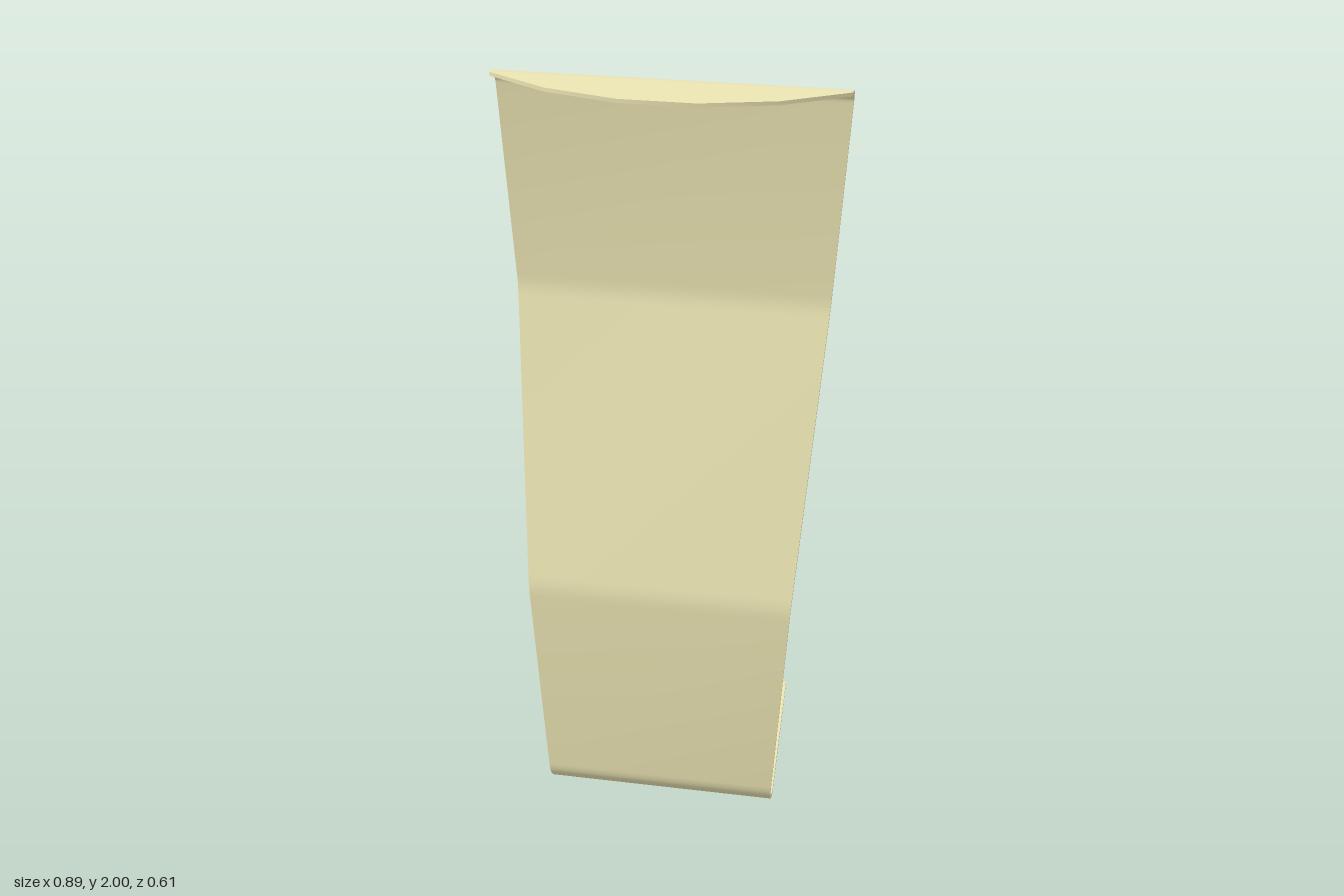
import * as THREE from 'three';
import { toCreasedNormals } from 'three/addons/utils/BufferGeometryUtils.js';

const T = 0.01; // sheet thickness
const BASE_FRONT = 0.23; // where the flat base meets the bent strip
const halfWidth = (y) => 0.3055 + 0.071 * y;

// Polyline in (z, y) whose inner corners are replaced by arcs.
// corners: [z, y, bend radius, arc steps]
function bentPath(corners) {
  const pts = [];
  corners.forEach(([z, y, r, steps], i) => {
    const p = new THREE.Vector2(z, y);
    if (!r) return pts.push(p);
    const a = new THREE.Vector2(...corners[i - 1].slice(0, 2)).sub(p).normalize();
    const b = new THREE.Vector2(...corners[i + 1].slice(0, 2)).sub(p).normalize();
    const half = Math.acos(a.dot(b)) / 2;
    const centre = a.clone().add(b).normalize().multiplyScalar(r / Math.sin(half)).add(p);
    const start = a.multiplyScalar(r / Math.tan(half)).add(p).sub(centre);
    const end = b.multiplyScalar(r / Math.tan(half)).add(p).sub(centre);
    const turn = Math.sign(start.cross(end)) * (Math.PI - 2 * half);
    for (let k = 0; k <= steps; k++) {
      pts.push(start.clone().rotateAround(new THREE.Vector2(), (turn * k) / steps).add(centre));
    }
  });
  return pts;
}

// Sweeps a thin rectangular section along the path, with a width per station.
function sheetGeometry(pts, widths) {
  const pos = [];
  const index = [];
  const last = pts.length - 1;
  pts.forEach((p, i) => {
    const d0 = pts[Math.min(i + 1, last)].clone().sub(pts[Math.min(i, last - 1)]).normalize();
    const d1 = pts[Math.max(i, 1)].clone().sub(pts[Math.max(i - 1, 0)]).normalize();
    const d = d0.add(d1).normalize();
    const nz = (-d.y * T) / 2;
    const ny = (d.x * T) / 2;
    const w = widths[i];
    pos.push(w, p.y + ny, p.x + nz, -w, p.y + ny, p.x + nz);
    pos.push(-w, p.y - ny, p.x - nz, w, p.y - ny, p.x - nz);
    if (i === last) return;
    for (let j = 0; j < 4; j++) {
      const a = i * 4 + j;
      const b = i * 4 + ((j + 1) % 4);
      index.push(a, b, b + 4, a, b + 4, a + 4);
    }
  });
  const e = last * 4;
  index.push(e, e + 1, e + 2, e, e + 2, e + 3, 0, 2, 1, 0, 3, 2);
  const geo = new THREE.BufferGeometry();
  geo.setAttribute('position', new THREE.Float32BufferAttribute(pos, 3));
  geo.setIndex(index);
  return toCreasedNormals(geo, 0.5);
}

export function createModel() {
  const group = new THREE.Group();
  group.name = 'bentSheetBracket';
  const material = new THREE.MeshStandardMaterial({ color: 0xede6b4 });
  const add = (name, geometry) => {
    const mesh = new THREE.Mesh(geometry, material);
    mesh.name = name;
    group.add(mesh);
  };

  // Upright strip: base bend, two shallow bends, then the top bend
  const path = bentPath([
    [BASE_FRONT, T / 2],
    [0.302, T / 2, 0.068, 10],
    [0.302, 0.64, 0.23, 4],
    [0.093, 1.42, 0.23, 4],
    [0.093, 2 - T / 2, 0.036, 8],
    [0.143, 2 - T / 2],
  ]);
  const widths = path.map((p) => halfWidth(p.y));

  // Curved-front top flange continues the strip with narrowing stations
  for (const [z, w] of [[0.241, 0.285], [0.293, 0.096]]) {
    path.push(new THREE.Vector2(z, 2 - T / 2));
    widths.push(w);
  }
  add('uprightStripAndTopFlange', sheetGeometry(path, widths));

  // Tapered base plate with a round hole (shape y is -z)
  const wFront = halfWidth(0);
  const plate = new THREE.Shape([
    new THREE.Vector2(-wFront, -BASE_FRONT),
    new THREE.Vector2(wFront, -BASE_FRONT),
    new THREE.Vector2(0.268, 0.308),
    new THREE.Vector2(-0.268, 0.308),
  ]);
  plate.holes.push(new THREE.Path().absarc(0, 0.041, 0.107, 0, Math.PI * 2, true));
  const base = new THREE.ExtrudeGeometry(plate, { depth: T, bevelEnabled: false, curveSegments: 10 });
  base.rotateX(-Math.PI / 2);
  add('basePlate', toCreasedNormals(base, 0.5));

  return group;
}
